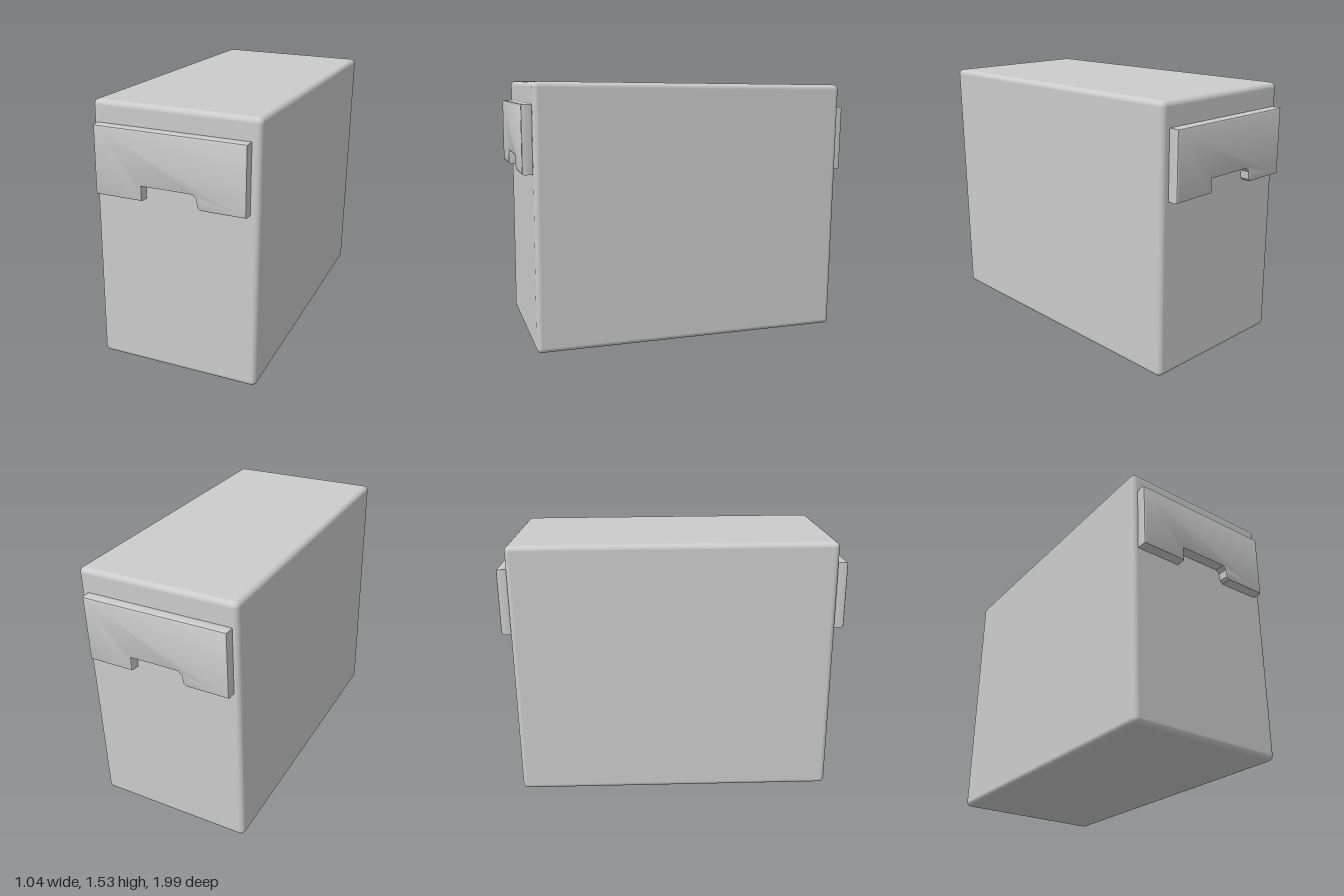
import * as THREE from 'three';
import { RoundedBoxGeometry } from 'three/addons/geometries/RoundedBoxGeometry.js';
import { toCreasedNormals } from 'three/addons/utils/BufferGeometryUtils.js';

const W = 0.94, H = 1.5, D = 1.845;

// Plate outline with a notch cut up into its lower edge
function plateShape() {
  const points = [
    [-0.428, 0.19], [-0.428, -0.19], [-0.155, -0.19], [-0.155, -0.11],
    [0.135, -0.11], [0.155, -0.13], [0.16, -0.175], [0.178, -0.19],
    [0.428, -0.19], [0.428, 0.19],
  ];
  return new THREE.Shape(points.map(([x, y]) => new THREE.Vector2(x, y)));
}

export function createModel() {
  const model = new THREE.Group();
  model.name = 'case';
  const grey = new THREE.MeshStandardMaterial({ color: 0xcccccc });
  grey.name = 'light grey';

  // The whole case stands a little askew
  const tilted = new THREE.Group();
  tilted.name = 'tiltedCase';
  tilted.position.y = 0.765;
  tilted.rotation.set(-0.006, -0.04, -0.018);
  model.add(tilted);

  // Main body
  const body = new THREE.Mesh(new RoundedBoxGeometry(W, H, D, 4, 0.03), grey);
  body.name = 'body';
  tilted.add(body);

  // Notched plates on both ends, sunk slightly into the body
  const plateGeometry = toCreasedNormals(new THREE.ExtrudeGeometry(plateShape(), {
    depth: 0.054, bevelEnabled: true, bevelThickness: 0.012,
    bevelSize: 0.01, bevelOffset: -0.01, bevelSegments: 2,
  }), 0.6);
  for (const [name, side, y] of [['frontPlate', 1, 0.44], ['backPlate', -1, 0.425]]) {
    const plate = new THREE.Mesh(plateGeometry, grey);
    plate.name = name;
    plate.position.set(-0.01, y, side * (D / 2 - 0.008));
    if (side < 0) plate.rotation.y = Math.PI;
    tilted.add(plate);
  }
  return model;
}
